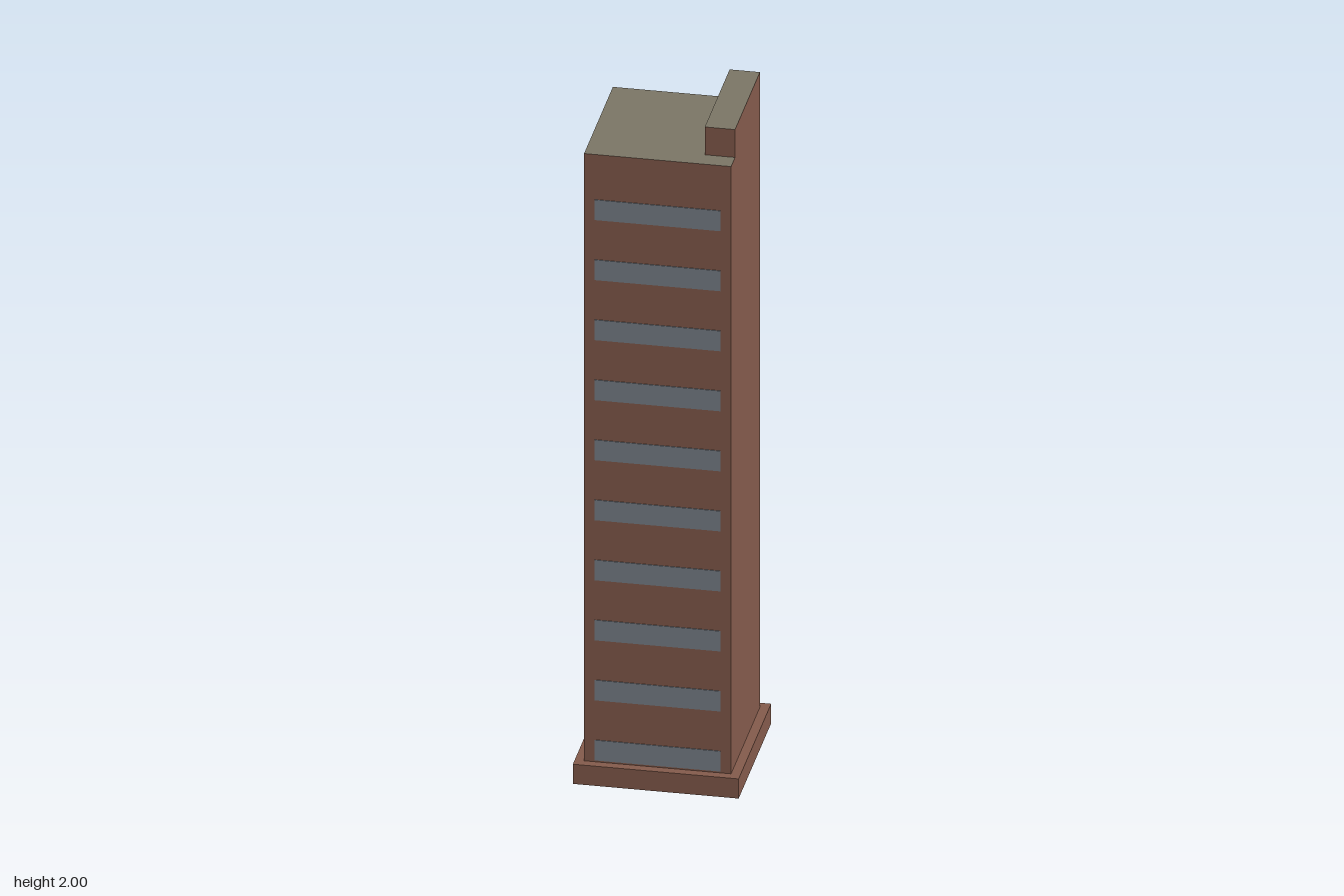
import * as THREE from 'three';

export function createModel() {
  const tower = new THREE.Group();
  tower.name = 'tower';

  const material = (name, color) => {
    const m = new THREE.MeshStandardMaterial({ color });
    m.name = name;
    return m;
  };
  const brick = material('brick', 0x835a4b);
  const roof = material('roof', 0x7a7565);
  const glass = material('glass', 0x788089);
  // Box faces run +x, -x, +y, -y, +z, -z: only the top is roofing
  const roofed = [brick, brick, roof, brick, brick, brick];

  // Box given by its lower and upper corners
  const addBox = (name, [x0, y0, z0], [x1, y1, z1], mat) => {
    const mesh = new THREE.Mesh(new THREE.BoxGeometry(x1 - x0, y1 - y0, z1 - z0), mat);
    mesh.position.set((x0 + x1) / 2, (y0 + y1) / 2, (z0 + z1) / 2);
    mesh.name = name;
    tower.add(mesh);
  };

  const half = 0.204;
  addBox('base', [-0.23, 0, -0.23], [0.23, 0.06, 0.23], brick);
  addBox('body', [-half, 0.06, -half], [half, 1.915, half], roofed);
  addBox('roofHousing', [0.12, 1.915, -half], [half, 2, 0.148], roofed);

  // Ten window bands on the front and the back
  for (let floor = 0; floor < 10; floor++) {
    const y = 0.065 + floor * 0.1834;
    addBox('frontWindow', [-0.175, y, half - 0.002], [0.175, y + 0.062, half + 0.002], glass);
    addBox('backWindow', [-0.175, y, -half - 0.002], [0.175, y + 0.062, -half + 0.002], glass);
  }

  return tower;
}
